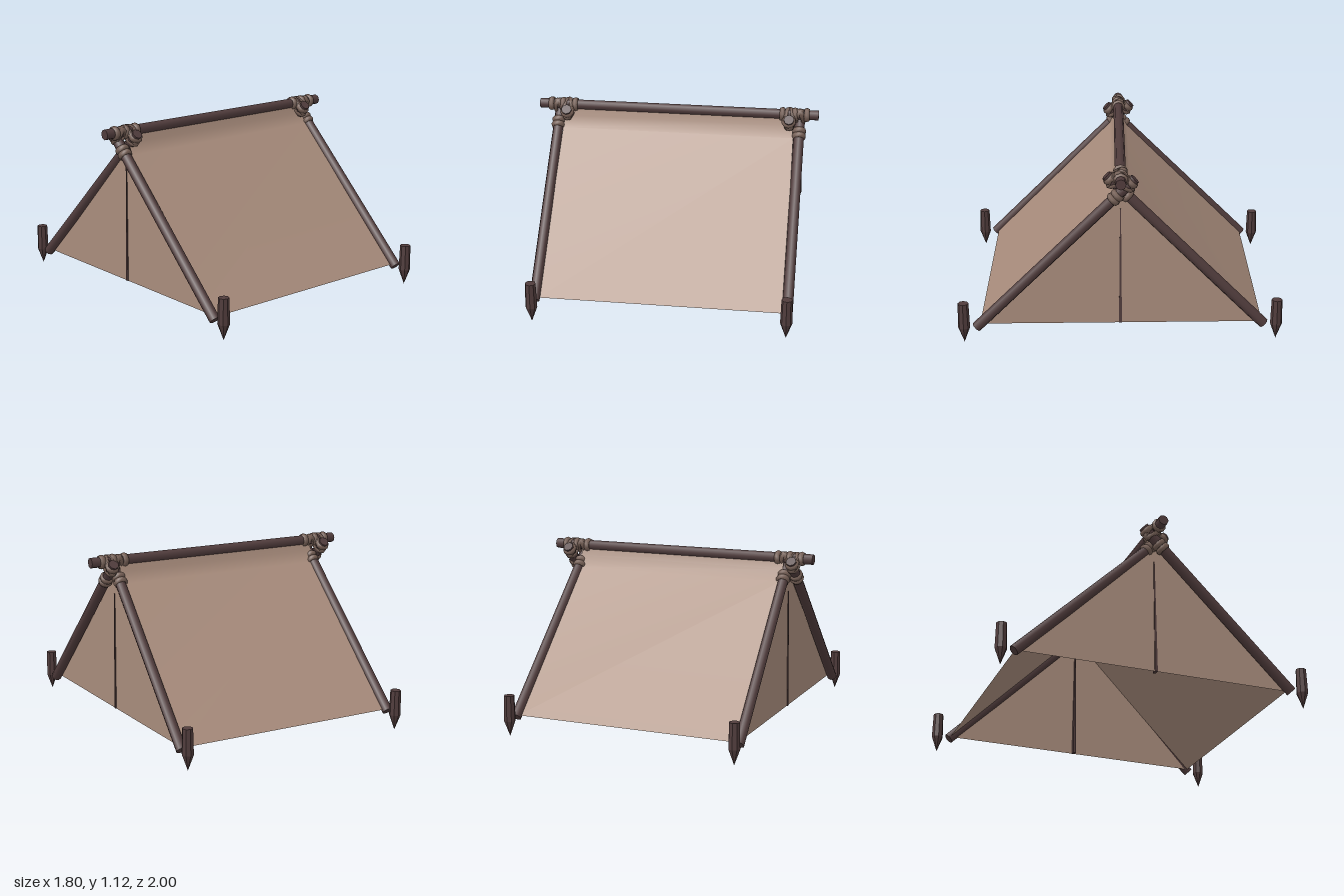
import * as THREE from 'three';

const canvas = new THREE.MeshStandardMaterial({ name: 'canvas', color: 0xa88c7c, side: THREE.DoubleSide });
const wood = new THREE.MeshStandardMaterial({ name: 'darkWood', color: 0x503c3c });
const rope = new THREE.MeshStandardMaterial({ name: 'rope', color: 0x755f55 });

const V = (x, y, z) => new THREE.Vector3(x, y, z);
const UP = V(0, 1, 0);
const RIDGE_Y = 1.07, CROSS_Y = 0.98, R = 0.033;

function add(parent, name, geometry, material) {
  const mesh = new THREE.Mesh(geometry, material);
  mesh.name = name;
  parent.add(mesh);
  return mesh;
}

// Round pole between two points
function pole(parent, name, a, b, r0 = R, r1 = R) {
  const dir = b.clone().sub(a);
  const mesh = add(parent, name, new THREE.CylinderGeometry(r1, r0, dir.length(), 8), wood);
  mesh.position.copy(a).add(b).multiplyScalar(0.5);
  mesh.quaternion.setFromUnitVectors(UP, dir.normalize());
}

// Rope coil round an axis; "major" is the long direction of an oval coil
function coil(parent, centre, axis, major, rMajor = 0.034, rMinor = 0.034) {
  const n = axis.clone().normalize();
  const u = major.clone().addScaledVector(n, -major.dot(n)).normalize();
  const w = n.clone().cross(u);
  const geo = new THREE.TorusGeometry(rMinor, 0.012, 6, 10);
  geo.scale(rMajor / rMinor, 1, 1.6);
  geo.applyMatrix4(new THREE.Matrix4().makeBasis(u, w, n).setPosition(centre));
  add(parent, 'ropeCoil', geo, rope);
}

// Sloping cloth from rows of [y, z, half width], top row first
function sheet(parent, name, rows) {
  const geo = new THREE.PlaneGeometry(1, 1, 1, rows.length - 1);
  const pos = geo.attributes.position;
  rows.forEach(([y, z, half], i) => {
    const side = z < 0 ? -1 : 1;
    pos.setXYZ(2 * i, -half * side, y, z);
    pos.setXYZ(2 * i + 1, half * side, y, z);
  });
  geo.computeVertexNormals();
  add(parent, name, geo, canvas);
}

export function createModel() {
  const tent = new THREE.Group();
  tent.name = 'tent';

  pole(tent, 'ridgePole', V(-0.9, RIDGE_Y, 0), V(0.9, RIDGE_Y, 0));

  // Roof panels, turned up towards the ridge at the top
  sheet(tent, 'frontRoof', [[1.06, 0.015, 0.73], [1.0, 0.03, 0.735], [0.93, 0.06, 0.745], [0.11, 0.865, 0.755]]);
  sheet(tent, 'backRoof', [[1.06, -0.015, 0.71], [1.0, -0.03, 0.71], [0.93, -0.06, 0.71], [0.11, -0.875, 0.735]]);

  for (const s of [-1, 1]) {
    // Triangular end wall
    const wall = new THREE.BufferGeometry().setFromPoints([
      V(s * 0.755, 0.11, 0.865), V(s * 0.735, 0.11, -0.875), V(s * 0.735, 0.99, 0),
    ]);
    wall.setIndex(s > 0 ? [0, 1, 2] : [0, 2, 1]);
    wall.computeVertexNormals();
    add(tent, 'endWall', wall, canvas);

    // Door seam, narrowing upwards
    const seam = new THREE.BoxGeometry(0.035, 0.75, 0.018);
    const p = seam.attributes.position;
    for (let i = 0; i < p.count; i++) {
      if (p.getY(i) > 0) p.setXYZ(i, p.getX(i) * 0.5, p.getY(i), p.getZ(i) * 0.35);
    }
    add(tent, 'doorSeam', seam, wood).position.set(s * 0.733, 0.485, 0);

    for (const f of [1, -1]) {
      // Leg pole, crossing under the ridge
      const foot = V(s * (f > 0 ? 0.78 : 0.745), 0.1, f * 0.885);
      const head = V(s * (f > 0 ? 0.78 : 0.715), 1.065, f * -0.085);
      pole(tent, f > 0 ? 'frontLeg' : 'backLeg', foot, head);

      // Lashing round the leg, and crossed over leg and ridge
      const dir = head.clone().sub(foot).normalize();
      const cross = V(head.x, CROSS_Y, 0);
      const out = V(0, 1, f).normalize();
      for (const d of [-0.06, -0.025, 0.09]) {
        coil(tent, cross.clone().addScaledVector(dir, d), dir, out);
      }
      const middle = V(head.x, RIDGE_Y, 0).addScaledVector(out, -R);
      for (const k of [-1, 1]) {
        coil(tent, middle, V(k, 0, 0).add(dir), out, 0.064, 0.037);
      }

      // Ground stake with a sharpened tip
      const stake = new THREE.LatheGeometry(
        [[0, 0], [0.037, 0.1], [0.033, 0.26], [0, 0.26]].map(([x, y]) => new THREE.Vector2(x, y)), 8
      ).toNonIndexed();
      stake.computeVertexNormals();
      add(tent, 'stake', stake, wood).position.set(foot.x, 0, f * 0.962);
    }

    // Coils round the ridge
    for (const x of [0.67, 0.75, 0.825]) coil(tent, V(s * x, RIDGE_Y, 0), V(1, 0, 0), UP);
  }
  return tent;
}
